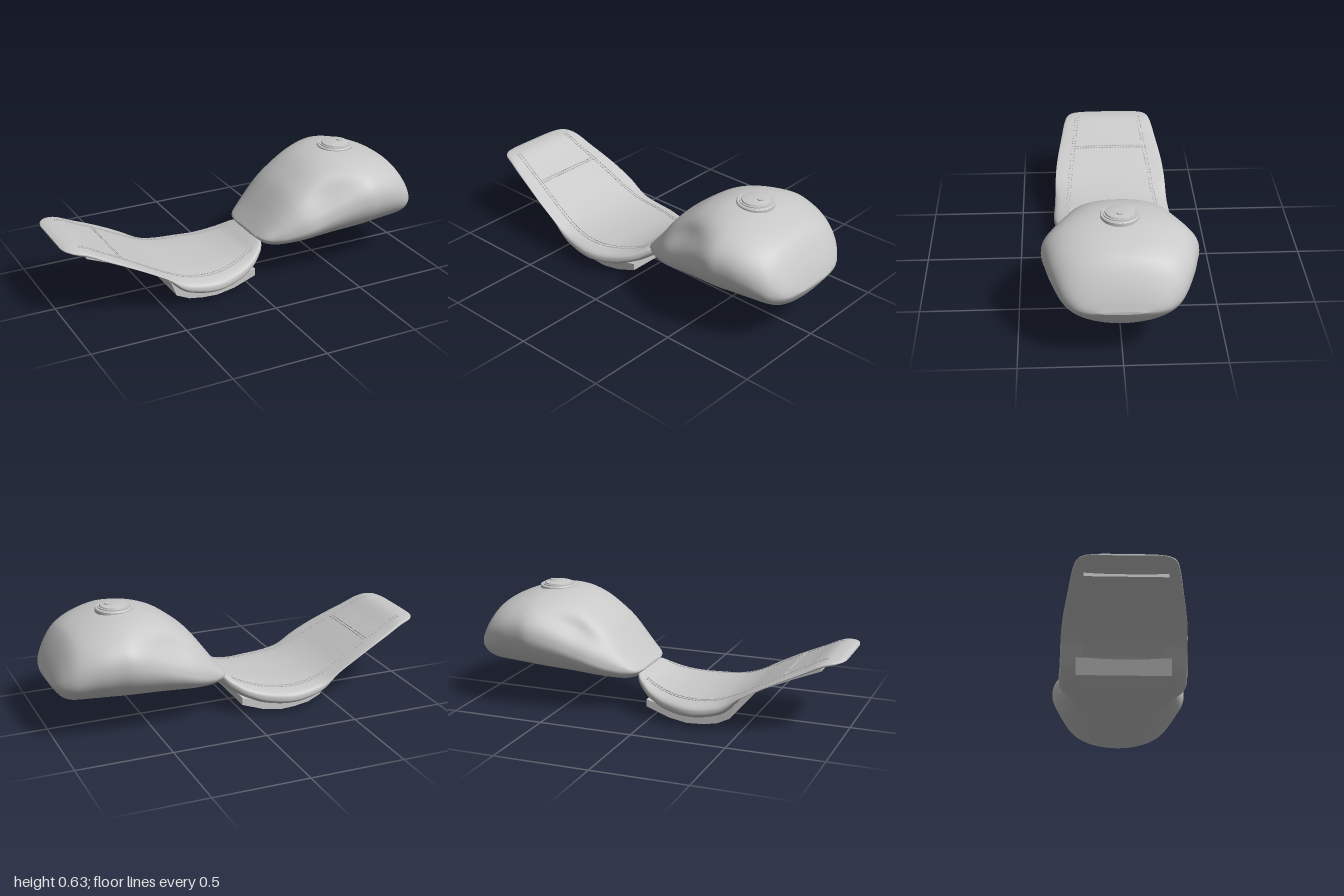
import * as THREE from 'three';
import { mergeGeometries, toCreasedNormals } from 'three/addons/utils/BufferGeometryUtils.js';

// Smooth function through [x, value] pairs
function profile(pts) {
  const slope = (i) => {
    const a = pts[Math.max(0, i - 1)], b = pts[Math.min(pts.length - 1, i + 1)];
    return (b[1] - a[1]) / (b[0] - a[0]);
  };
  return (x) => {
    let i = 0;
    while (i < pts.length - 2 && x > pts[i + 1][0]) i++;
    const [x0, y0] = pts[i], [x1, y1] = pts[i + 1], h = x1 - x0;
    const t = Math.min(1, Math.max(0, (x - x0) / h)), t2 = t * t, t3 = t2 * t;
    return (2 * t3 - 3 * t2 + 1) * y0 + (t3 - 2 * t2 + t) * h * slope(i)
      + (3 * t2 - 2 * t3) * y1 + (t3 - t2) * h * slope(i + 1);
  };
}

const power = (v, n) => Math.sign(v) * Math.abs(v) ** (2 / n);

// Closed body along x; each section is a squashed ellipse given by the profiles
function loft(x0, x1, s, steps = 90, sides = 96) {
  const pos = [], index = [];
  for (let i = 0; i <= steps; i++) {
    const x = x0 + (x1 - x0) * (0.5 - 0.5 * Math.cos((Math.PI * i) / steps));
    const w = s.width(x), mid = s.mid(x), up = s.top(x) - mid, down = mid - s.bottom(x);
    for (let j = 0; j < sides; j++) {
      const a = (j / sides) * Math.PI * 2, c = Math.cos(a), sn = Math.sin(a);
      const n = sn > 0 ? s.nTop : s.nBottom;
      const k = s.dent ? s.dent(x, sn) : 1;
      pos.push(x, mid + power(sn, n) * (sn > 0 ? up : down) * (1 - (1 - k) * 0.4), power(c, n) * w * k);
    }
  }
  for (let i = 0; i < steps; i++) {
    for (let j = 0; j < sides; j++) {
      const a = i * sides + j, b = i * sides + ((j + 1) % sides);
      index.push(a, a + sides, b, b, a + sides, b + sides);
    }
  }
  const first = pos.length / 3, last = steps * sides;
  pos.push(x0, s.mid(x0), 0, x1, s.mid(x1), 0);
  for (let j = 0; j < sides; j++) {
    const k = (j + 1) % sides;
    index.push(first, j, k, first + 1, last + k, last + j);
  }
  const g = new THREE.BufferGeometry();
  g.setAttribute('position', new THREE.Float32BufferAttribute(pos, 3));
  g.setIndex(index);
  g.computeVertexNormals();
  return g;
}

const tank = {
  width: profile([[0.08, 0.12], [0.09, 0.17], [0.11, 0.205], [0.15, 0.235], [0.2, 0.265], [0.3, 0.312], [0.4, 0.335],
    [0.5, 0.357], [0.6, 0.377], [0.65, 0.38], [0.7, 0.37], [0.8, 0.345], [0.9, 0.3], [0.95, 0.255], [0.985, 0.19], [1, 0.1]]),
  top: profile([[0.08, 0.23], [0.1, 0.255], [0.15, 0.32], [0.2, 0.388], [0.25, 0.45], [0.3, 0.495], [0.4, 0.565],
    [0.5, 0.599], [0.6, 0.606], [0.7, 0.595], [0.8, 0.565], [0.88, 0.525], [0.92, 0.48], [0.96, 0.41], [0.985, 0.35], [1, 0.3]]),
  bottom: profile([[0.08, 0.215], [0.1, 0.19], [0.13, 0.167], [0.18, 0.156], [0.4, 0.162], [0.6, 0.17], [0.8, 0.179],
    [0.9, 0.186], [0.94, 0.2], [0.97, 0.235], [1, 0.285]]),
  mid: profile([[0.08, 0.222], [0.2, 0.25], [0.3, 0.29], [0.4, 0.33], [0.5, 0.37], [0.65, 0.41], [0.8, 0.395], [0.9, 0.35], [1, 0.292]]),
  nTop: 2.3, nBottom: 2,
  // knee hollow on each side
  dent: (x, sn) => 1 - 0.13 * Math.exp(-(((x - 0.4) / 0.15) ** 2) - ((sn - 0.5) / 0.28) ** 2),
};

const seat = {
  width: profile([[-1, 0.15], [-0.99, 0.19], [-0.96, 0.228], [-0.9, 0.25], [-0.8, 0.27], [-0.6, 0.303], [-0.4, 0.315],
    [-0.23, 0.32], [-0.1, 0.285], [0, 0.245], [0.05, 0.21], [0.09, 0.17], [0.12, 0.1]]),
  top: profile([[-1, 0.403], [-0.97, 0.411], [-0.9, 0.405], [-0.8, 0.355], [-0.7, 0.305], [-0.6, 0.252], [-0.5, 0.2],
    [-0.4, 0.165], [-0.3, 0.148], [-0.2, 0.145], [-0.1, 0.152], [0, 0.175], [0.06, 0.205], [0.1, 0.225], [0.12, 0.223]]),
  bottom: profile([[-1, 0.395], [-0.97, 0.385], [-0.9, 0.362], [-0.8, 0.32], [-0.7, 0.28], [-0.6, 0.235], [-0.5, 0.175],
    [-0.43, 0.09], [-0.38, 0.057], [-0.25, 0.03], [-0.1, 0.04], [0, 0.08], [0.05, 0.11], [0.09, 0.15], [0.12, 0.2]]),
  mid: (x) => (seat.top(x) + seat.bottom(x)) / 2,
  nTop: 3, nBottom: 2.5,
};

// Height of the seat's upper surface
function seatHeight(x, z) {
  const m = seat.mid(x), r = Math.min(1, Math.abs(z) / seat.width(x));
  return m + (seat.top(x) - m) * (1 - r ** 3) ** (1 / 3);
}

// Row of small stitches lying on the seat, following [x, z] = at(t)
function stitchRow(at, count) {
  const point = (t) => {
    const [x, z] = at(t);
    return new THREE.Vector3(x, seatHeight(x, z) + 0.001, z);
  };
  const list = [];
  for (let i = 0; i < count; i++) {
    const p = point((i + 0.15) / count), q = point((i + 0.85) / count);
    const g = new THREE.BoxGeometry(0.005, 0.005, p.distanceTo(q));
    g.applyMatrix4(new THREE.Matrix4().lookAt(q, p, new THREE.Vector3(0, 1, 0)));
    g.translate((p.x + q.x) / 2, (p.y + q.y) / 2, (p.z + q.z) / 2);
    list.push(g);
  }
  return mergeGeometries(list);
}

// Plate with a side outline in x and y, centred across z
function plate(points, halfWidth) {
  const shape = new THREE.Shape(points.map((p) => new THREE.Vector2(...p)));
  const g = new THREE.ExtrudeGeometry(shape, { depth: halfWidth * 2, bevelEnabled: false });
  g.translate(0, 0, -halfWidth);
  return toCreasedNormals(g, 0.5);
}

export function createModel() {
  const group = new THREE.Group();
  const grey = new THREE.MeshStandardMaterial({ color: 0xc8c8c8 });
  grey.name = 'light grey';
  const add = (name, geometry) => {
    const mesh = new THREE.Mesh(geometry, grey);
    mesh.name = name;
    group.add(mesh);
    return mesh;
  };

  add('fuelTank', loft(0.08, 1, tank));
  add('seatCushion', loft(-1, 0.12, seat));

  // Stepped filler cap with a small lock
  const ring = [[0, 0.58], [0.096, 0.58], [0.096, 0.608], [0.092, 0.613], [0.082, 0.613], [0.082, 0.618],
    [0.073, 0.618], [0.071, 0.624], [0.05, 0.629], [0, 0.63]].map((p) => new THREE.Vector2(...p));
  add('fillerCap', toCreasedNormals(new THREE.LatheGeometry(ring, 48), 0.5)).position.x = 0.625;
  add('capLock', new THREE.CylinderGeometry(0.018, 0.018, 0.01, 24)).position.set(0.655, 0.629, 0);

  // Mounting plates under the seat
  add('frontBasePlate', plate([[-0.46, 0.13], [-0.43, 0.05], [-0.36, 0.017], [-0.28, 0.004], [-0.2, 0], [-0.1, 0.018],
    [0.02, 0.062], [0.02, 0.1], [-0.1, 0.07], [-0.25, 0.06], [-0.36, 0.09]], 0.235));
  add('rearBasePlate', plate([[-0.89, 0.37], [-0.89, 0.345], [-0.75, 0.288], [-0.6, 0.22], [-0.5, 0.163], [-0.46, 0.13],
    [-0.45, 0.15], [-0.6, 0.245], [-0.75, 0.31]], 0.2));

  // Double seams along both edges and across the back
  const seam = profile([[-0.92, 0.185], [-0.7, 0.213], [-0.5, 0.236], [-0.22, 0.25], [0.05, 0.165]]);
  for (const side of [1, -1]) {
    for (const inset of [0, 0.016]) {
      add('edgeSeam', stitchRow((t) => [-0.92 + t * 0.97, side * (seam(-0.92 + t * 0.97) - inset)], 56));
    }
  }
  for (const x of [-0.716, -0.704]) add('crossSeam', stitchRow((t) => [x, -0.2 + t * 0.4], 26));

  return group;
}
